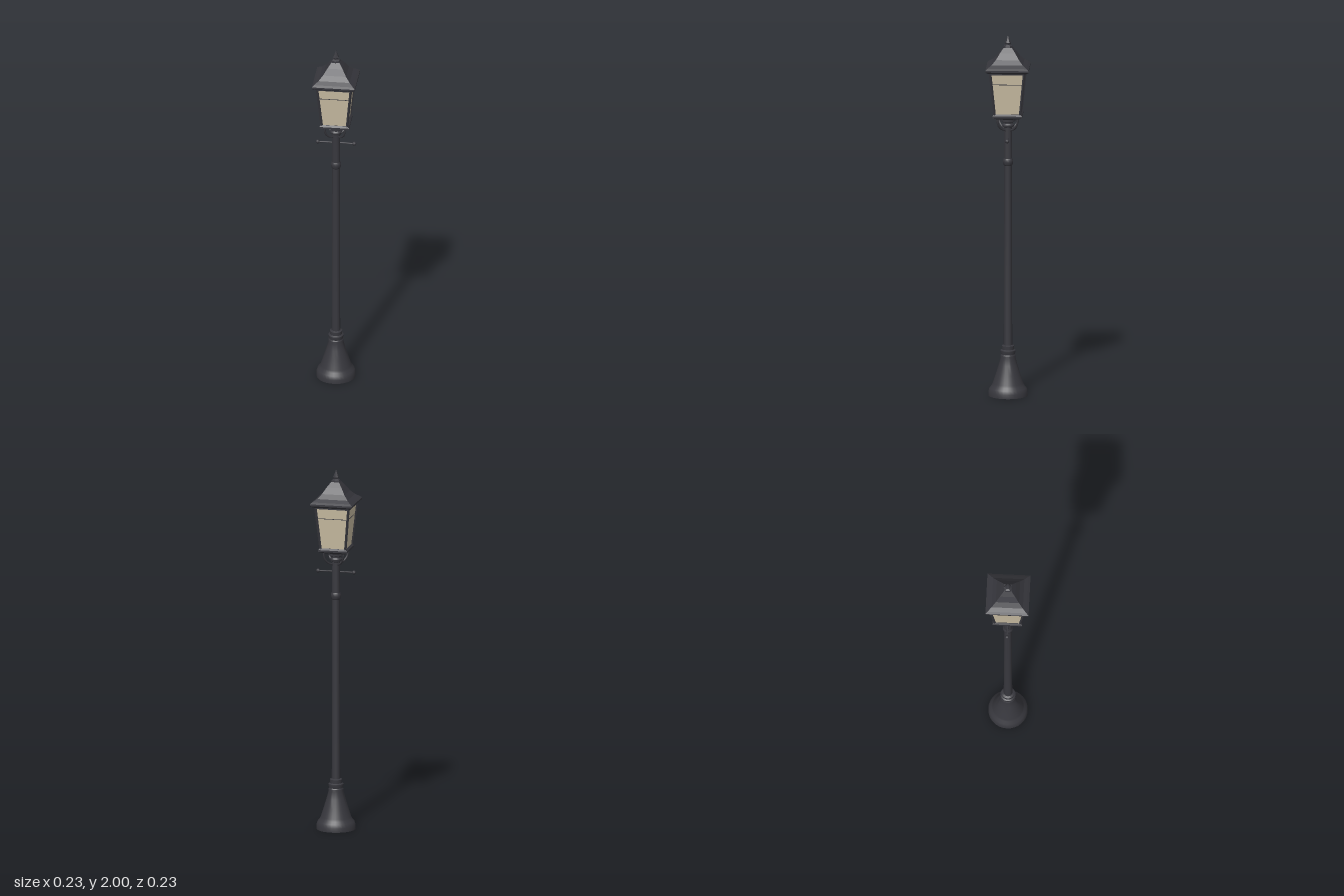
import * as THREE from 'three';
import { toCreasedNormals } from 'three/addons/utils/BufferGeometryUtils.js';

export function createModel() {
  const model = new THREE.Group();
  model.name = 'streetLamp';

  const iron = new THREE.MeshStandardMaterial({ color: 0x37373d });
  iron.name = 'dark iron';
  const glass = new THREE.MeshStandardMaterial({ color: 0xc8bca2 });
  glass.name = 'warm glass';

  const add = (name, geometry, material = iron, parent = model) => {
    const mesh = new THREE.Mesh(geometry, material);
    mesh.name = name;
    parent.add(mesh);
    return mesh;
  };

  // Round turned part from [radius, y] pairs, bottom to top
  const turned = (name, profile, sides = 24, crease = 0.6) =>
    add(name, toCreasedNormals(
      new THREE.LatheGeometry(profile.map(p => new THREE.Vector2(...p)), sides), crease));

  // Square part from [half width, y] pairs, with flat sides facing the axes
  const square = (name, profile, material) => {
    const points = profile.map(([h, y]) => new THREE.Vector2(h * Math.SQRT2, y));
    const geo = new THREE.LatheGeometry(points, 4, Math.PI / 4).toNonIndexed();
    geo.computeVertexNormals();
    return add(name, geo, material);
  };

  // Straight square bar between two points
  const bar = (name, a, b, width) => {
    const mesh = add(name, new THREE.BoxGeometry(width, width, a.distanceTo(b)));
    mesh.position.copy(a).lerp(b, 0.5);
    mesh.lookAt(b);
    return mesh;
  };

  // Flared foot
  turned('base', [
    [0, 0], [0.107, 0], [0.107, 0.022], [0.1, 0.042], [0.088, 0.055], [0.083, 0.068],
    [0.066, 0.12], [0.051, 0.17], [0.041, 0.208], [0.041, 0.222], [0.037, 0.228],
    [0.041, 0.242], [0.041, 0.25], [0.033, 0.255], [0.034, 0.275], [0.022, 0.28]], 32);

  // Pole, with a collar and slightly thicker upper section
  turned('pole', [[0.0235, 0.27], [0.0225, 0.55], [0.0215, 0.98], [0.0205, 1.29]], 16);
  turned('poleCollar', [
    [0.02, 1.275], [0.025, 1.28], [0.028, 1.295], [0.028, 1.305], [0.023, 1.315]], 16);
  turned('upperPole', [[0.023, 1.3], [0.0225, 1.5]], 16);

  // Ladder bar with ball ends
  const ladder = add('ladderBar', new THREE.CylinderGeometry(0.004, 0.004, 0.2, 8));
  ladder.rotation.z = Math.PI / 2;
  ladder.position.y = 1.43;
  for (const side of [-1, 1]) {
    add('ladderBarBall', new THREE.SphereGeometry(0.011, 10, 8))
      .position.set(side * 0.1, 1.43, 0);
  }

  // Neck under the lantern
  turned('neck', [
    [0.02, 1.485], [0.03, 1.49], [0.033, 1.502], [0.026, 1.51], [0.026, 1.518],
    [0.042, 1.524], [0.042, 1.535], [0.05, 1.54], [0.05, 1.55]], 20);

  // Four curved brackets reaching to the lantern corners
  const curve = new THREE.CatmullRomCurve3([
    [0.076, 1.552], [0.077, 1.53], [0.069, 1.505], [0.05, 1.485], [0.02, 1.472],
  ].map(([r, y]) => new THREE.Vector3(r, y, 0)));
  const bracketShape = new THREE.TubeGeometry(curve, 14, 0.0055, 6);
  for (let i = 0; i < 4; i++) {
    add('bracket', bracketShape).rotation.y = Math.PI / 4 + i * Math.PI / 2;
  }

  // Lantern floor and glass
  square('lanternFloor', [
    [0, 1.542], [0.058, 1.542], [0.08, 1.553], [0.08, 1.563], [0.072, 1.572], [0, 1.572]]);
  square('glassPanes', [[0.069, 1.565], [0.0925, 1.805]], glass);

  // Lantern frame: corner posts, top rails and fine glazing bars
  const corner = (i, h, y) => {
    const a = Math.PI / 4 + i * Math.PI / 2;
    return new THREE.Vector3(Math.cos(a) * h * Math.SQRT2, y, Math.sin(a) * h * Math.SQRT2);
  };
  for (let i = 0; i < 4; i++) {
    bar('cornerPost', corner(i, 0.069, 1.565), corner(i, 0.0925, 1.805), 0.01);
    bar('topRail', corner(i, 0.092, 1.8), corner(i + 1, 0.092, 1.8), 0.01);
    bar('glazingBar', corner(i, 0.086, 1.74), corner(i + 1, 0.086, 1.74), 0.003);
  }

  // Swept square roof
  square('roof', [
    [0, 1.803], [0.102, 1.803], [0.117, 1.814], [0.117, 1.824], [0.106, 1.833],
    [0.085, 1.848], [0.063, 1.872], [0.042, 1.905], [0.022, 1.932], [0, 1.935]]);

  // Spiked finial
  turned('finial', [
    [0.018, 1.922], [0.026, 1.932], [0.024, 1.94], [0.014, 1.947],
    [0.017, 1.957], [0.01, 1.972], [0, 2]], 6, 0.3);

  return model;
}
